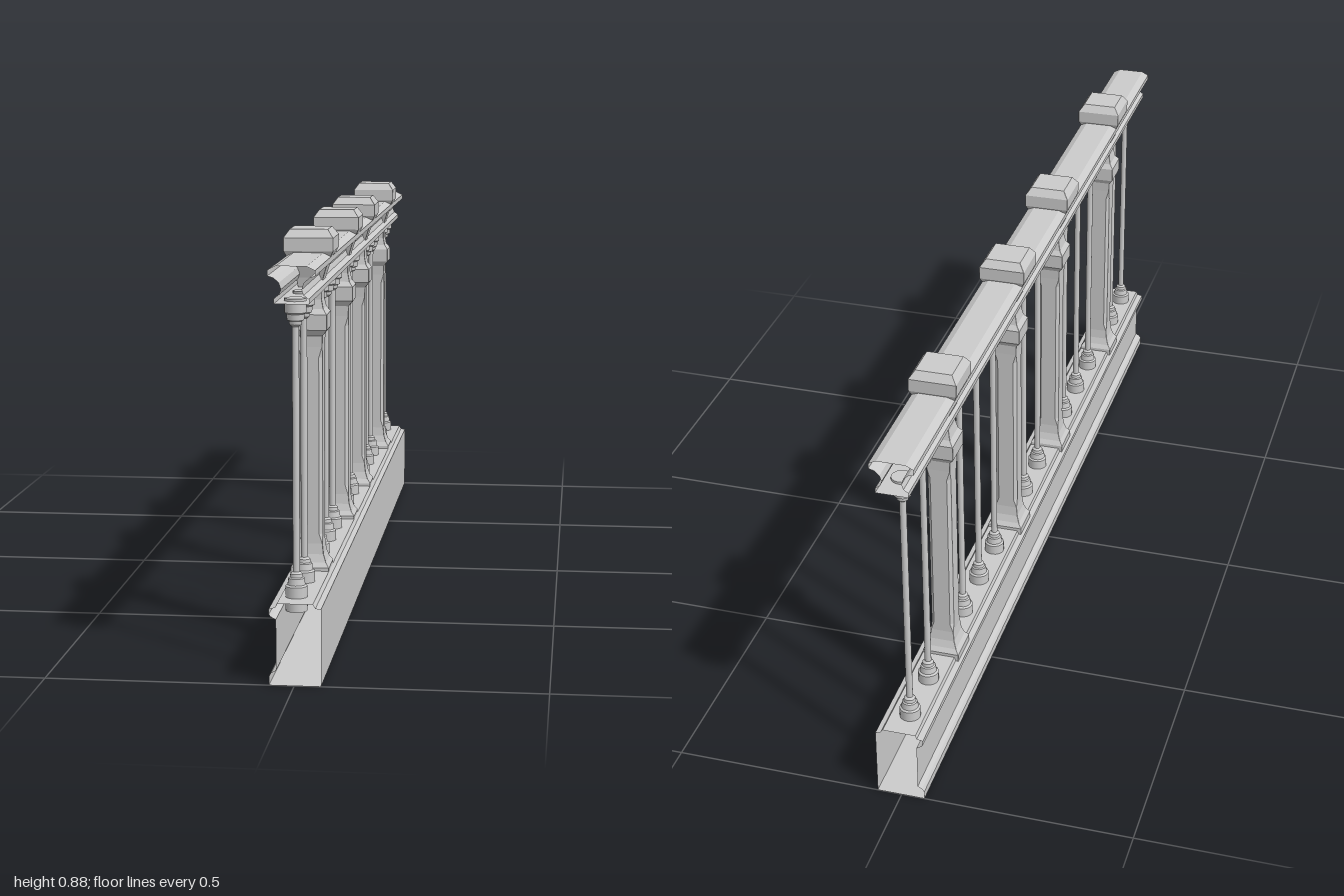
import * as THREE from 'three';

const AXIS = -0.003; // x of posts, balusters and handrail
const flat = new THREE.MeshStandardMaterial({ color: 0xcccccc, flatShading: true });
const shell = new THREE.MeshStandardMaterial({ color: 0xcccccc, flatShading: true, side: THREE.DoubleSide });
const smooth = new THREE.MeshStandardMaterial({ color: 0xcccccc, side: THREE.DoubleSide });

function fromTriangles(points) {
  const g = new THREE.BufferGeometry();
  g.setAttribute('position', new THREE.Float32BufferAttribute(points.flat(), 3));
  g.computeVertexNormals();
  return g;
}

// Open-ended rail: a closed counter-clockwise (x, y) profile swept along z
function sweptRail(profile) {
  const tris = [];
  profile.forEach(([ax, ay], i) => {
    const [bx, by] = profile[(i + 1) % profile.length];
    tris.push([ax, ay, -1], [bx, by, -1], [bx, by, 1], [ax, ay, -1], [bx, by, 1], [ax, ay, 1]);
  });
  return fromTriangles(tris);
}

// Square post from levels of [y, half width, corner chamfer]
function squareLoft(levels) {
  const rings = levels.map(([y, h, c]) => {
    const k = h - c;
    return [[h, -k], [h, k], [k, h], [-k, h], [-h, k], [-h, -k], [-k, -h], [k, -h]].map(([x, z]) => [x, y, z]);
  });
  const tris = [];
  for (let j = 0; j + 1 < rings.length; j++) {
    for (let i = 0; i < 8; i++) {
      const n = (i + 1) % 8;
      const [a, b, c, d] = [rings[j][i], rings[j][n], rings[j + 1][n], rings[j + 1][i]];
      tris.push(a, d, c, a, c, b);
    }
  }
  const bottom = rings[0], top = rings[rings.length - 1];
  for (let i = 1; i < 7; i++) {
    tris.push(top[0], top[i + 1], top[i], bottom[0], bottom[i], bottom[i + 1]);
  }
  return fromTriangles(tris);
}

// Lathe with hard edges between profile bands
function bandedLathe(profile, sides) {
  const pts = [];
  profile.forEach(([r, y], i) => {
    pts.push(new THREE.Vector2(r, y));
    if (i > 0 && i < profile.length - 1) pts.push(new THREE.Vector2(r, y));
  });
  return new THREE.LatheGeometry(pts, sides);
}

export function createModel() {
  const model = new THREE.Group();
  const add = (name, geometry, material, x = 0, z = 0) => {
    const mesh = new THREE.Mesh(geometry, material);
    mesh.name = name;
    mesh.position.set(x, 0, z);
    model.add(mesh);
  };

  // Bottom beam: plain face on +x, recessed panel between lips on -x
  add('bottomBeam', sweptRail([
    [-0.05, 0], [0.053, 0], [0.053, 0.155], [0.042, 0.157], [0.037, 0.165],
    [-0.034, 0.165], [-0.037, 0.157], [-0.05, 0.154], [-0.05, 0.143], [-0.045, 0.138],
    [-0.036, 0.133], [-0.036, 0.03], [-0.045, 0.025], [-0.05, 0.018],
  ]), shell);

  // Handrail: wide top and bottom flanges with a hollowed waist
  const half = [
    [0.034, 0.755], [0.034, 0.765], [0.024, 0.772], [0.02, 0.783], [0.024, 0.796],
    [0.034, 0.805], [0.046, 0.809], [0.046, 0.82], [0.03, 0.828],
  ];
  const mirrored = half.map(([x, y]) => [-x, y]).reverse();
  add('handrail', sweptRail([...half, ...mirrored]), shell, AXIS);

  // Post: flared foot, chamfered shaft, collar, and a flared cap
  const post = squareLoft([
    [0.143, 0.04, 0.0005], [0.172, 0.04, 0.0005], [0.182, 0.033, 0.0005], [0.198, 0.0275, 0.0005],
    [0.22, 0.025, 0.0005], [0.24, 0.025, 0.007], [0.61, 0.025, 0.007], [0.632, 0.025, 0.0005],
    [0.655, 0.026, 0.0005], [0.668, 0.036, 0.0005], [0.7, 0.036, 0.0005], [0.711, 0.028, 0.0005],
    [0.73, 0.024, 0.0005], [0.755, 0.0245, 0.0005], [0.775, 0.028, 0.0005], [0.797, 0.035, 0.0005],
    [0.815, 0.043, 0.0005], [0.831, 0.051, 0.0005], [0.858, 0.051, 0.0005], [0.875, 0.039, 0.0005],
  ]);

  // Slim round baluster with stepped ends
  const baluster = bandedLathe([
    [0, 0.137], [0.022, 0.137], [0.022, 0.187], [0.018, 0.19], [0.016, 0.203], [0.013, 0.205],
    [0.012, 0.212], [0.007, 0.216], [0.007, 0.704], [0.012, 0.708], [0.013, 0.715], [0.017, 0.717],
    [0.018, 0.729], [0.022, 0.732], [0.022, 0.76], [0, 0.76],
  ], 16);

  // Sixteen even bays; posts take the place of four balusters
  for (let i = 0; i < 16; i++) {
    const z = 0.9375 - i * 0.125;
    const isPost = [2, 6, 9, 13].includes(i);
    add(isPost ? 'post' : 'baluster', isPost ? post : baluster, isPost ? flat : smooth, AXIS, z);
  }
  return model;
}
